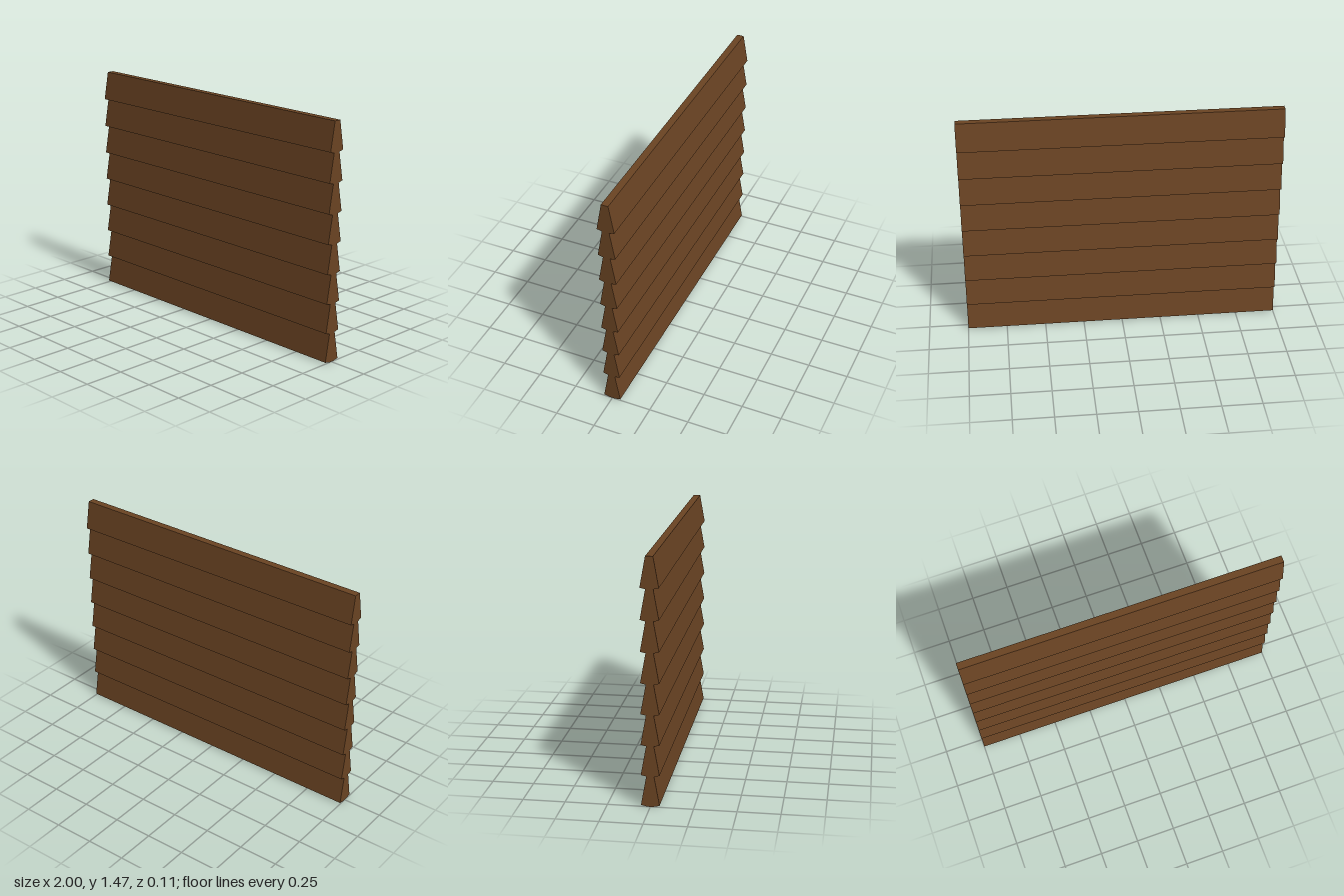
import * as THREE from 'three';

const COURSES = 8, PITCH = 0.183, WIDTH = 2;

export function createModel() {
  const model = new THREE.Group();
  model.name = 'clapboardWall';
  const wood = new THREE.MeshStandardMaterial({ color: 0x6b4423 });
  wood.name = 'brown wood';

  // Wedge cross-section: boards flare outward at the bottom on both faces
  const profile = new THREE.Shape([
    [-0.015, 0], [0.015, 0], [0.054, 0.009], [0.022, PITCH + 0.004],
    [-0.022, PITCH + 0.004], [-0.054, 0.009],
  ].map(([z, y]) => new THREE.Vector2(z, y)));

  const course = new THREE.ExtrudeGeometry(profile, { depth: WIDTH, bevelEnabled: false });
  course.translate(0, 0, -WIDTH / 2);
  course.rotateY(Math.PI / 2);

  // Stacked courses of double-sided siding
  for (let i = 0; i < COURSES; i++) {
    const board = new THREE.Mesh(course, wood);
    board.name = `sidingBoard${i + 1}`;
    board.position.y = i * PITCH;
    model.add(board);
  }
  return model;
}
